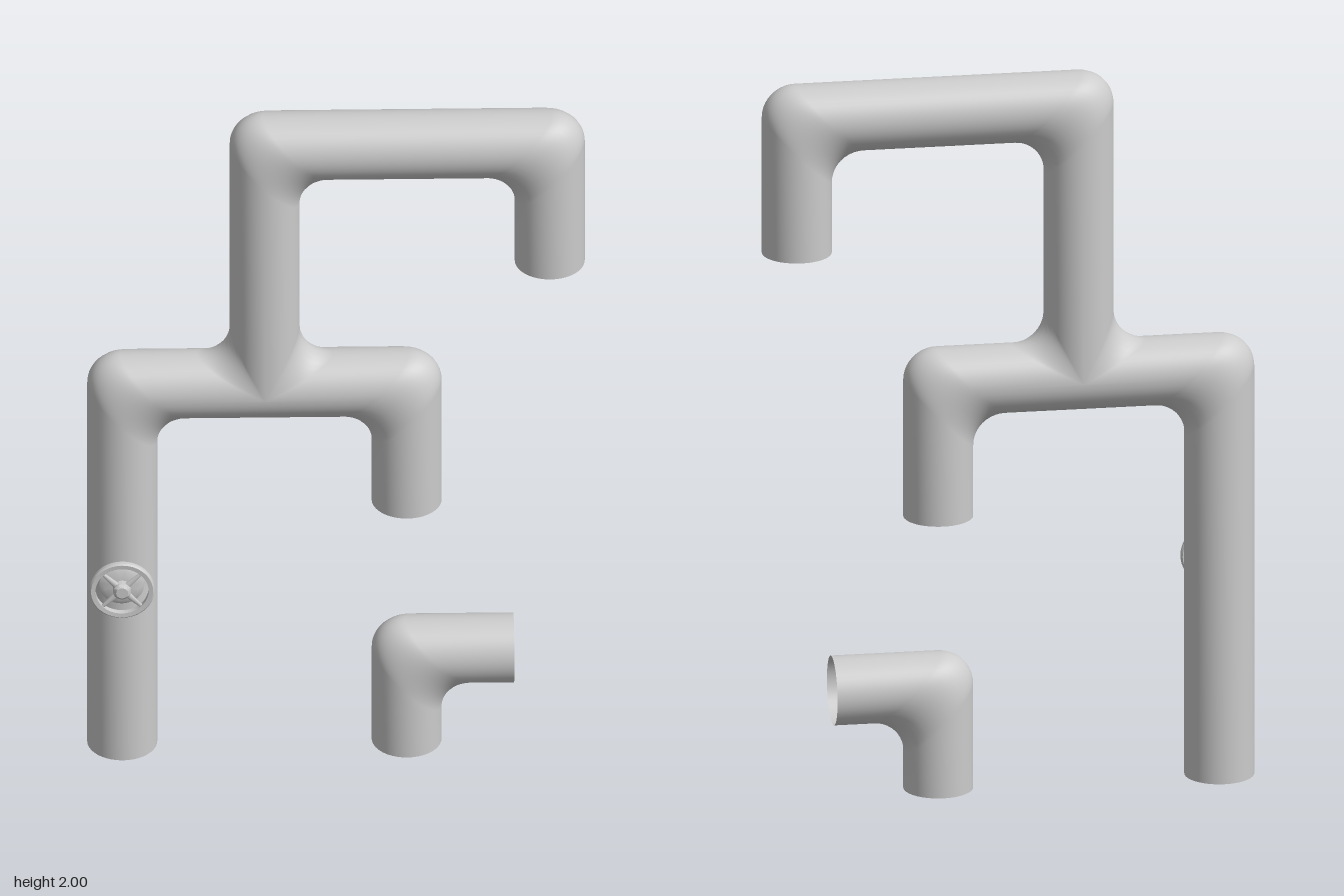
import * as THREE from 'three';
import { mergeGeometries, mergeVertices, toCreasedNormals } from 'three/addons/utils/BufferGeometryUtils.js';

const R = 0.0935;      // pipe radius
const FILLET = 0.088;  // rounding of every bend, inside and outside
const Z = -0.031;      // depth of the pipe axis
const BEND = 10, HALF = 20;

// Sweep a circle (or arc) along a right-angled path in the xy plane.
// Path points are [x, y, tee]; at a tee the fillet fades out towards the sides.
function sweep(path, phi0 = 0, halves = 2) {
  const around = HALF * halves, pos = [], index = [];
  const pts = path.map(([x, y]) => new THREE.Vector2(x, y));
  const dirs = pts.slice(1).map((p, i) => p.clone().sub(pts[i]).normalize());
  const left = dirs.map((d) => new THREE.Vector2(-d.y, d.x));
  let rings = 0;
  const ring = (place) => {
    for (let j = 0; j <= around; j++) {
      const phi = phi0 + (j / around) * halves * Math.PI;
      const p = place(R * Math.cos(phi));
      pos.push(p.x, p.y, Z + R * Math.sin(phi));
    }
    rings++;
  };
  pts.forEach((p, i) => {
    if (i === 0 || i === pts.length - 1) {
      const n = left[Math.min(i, left.length - 1)];
      ring((u) => p.clone().addScaledVector(n, u));
      return;
    }
    // each lengthwise line meets its own corner, rounded by the fillet
    const a = dirs[i - 1], b = dirs[i], n = left[i - 1].clone().add(left[i]);
    for (let k = 0; k <= BEND; k++) {
      const t = (k / BEND) * Math.PI / 2;
      ring((u) => {
        const f = path[i][2] ? FILLET * Math.abs(u) / R : FILLET;
        return p.clone().addScaledVector(n, u)
          .addScaledVector(a, -f * (1 - Math.sin(t)))
          .addScaledVector(b, f * (1 - Math.cos(t)));
      });
    }
  });
  const w = around + 1;
  for (let i = 0; i < rings - 1; i++) {
    for (let j = 0; j < around; j++) {
      const q = i * w + j;
      index.push(q, q + 1, q + w, q + 1, q + w + 1, q + w);
    }
  }
  const g = new THREE.BufferGeometry();
  g.setAttribute('position', new THREE.Float32BufferAttribute(pos, 3));
  g.setIndex(index);
  return g;
}

function weld(parts) {
  const g = mergeVertices(mergeGeometries(parts), 1e-4);
  g.computeVertexNormals();
  return g;
}

// Turned part whose axis points to +z; profile points are [radius, z]
function turned(profile, segments = 32) {
  const g = new THREE.LatheGeometry(profile.map(([x, y]) => new THREE.Vector2(x, y)), segments);
  return toCreasedNormals(g.rotateX(Math.PI / 2), 0.6);
}

export function createModel() {
  const model = new THREE.Group();
  const grey = new THREE.MeshStandardMaterial({ color: 0xcccccc, side: THREE.DoubleSide });
  const add = (parent, name, geometry) => {
    const mesh = new THREE.Mesh(geometry, grey);
    mesh.name = name;
    parent.add(mesh);
    return mesh;
  };

  // Branching pipe: three half-round sweeps that meet along their edges
  const xl = -0.573, xm = -0.193, xr = 0.186, xt = 0.568, yMid = 1.146, yTop = 1.907;
  const upper = [[xm, yMid, true], [xm, yTop], [xt, yTop], [xt, 1.53]];
  add(model, 'branchingPipe', weld([
    sweep([[xl, 0], [xl, yMid], [xr, yMid], [xr, 0.767]], Math.PI / 2, 1),
    sweep([[xl, 0], [xl, yMid], ...upper], -Math.PI / 2, 1),
    sweep([[xr, 0.767], [xr, yMid], ...upper], Math.PI / 2, 1),
  ]));

  // Separate elbow standing on the ground
  add(model, 'elbowPipe', weld([sweep([[xr, 0], [xr, 0.288], [0.472, 0.288]])]));

  // Valve on the front of the long leg
  const valve = new THREE.Group();
  valve.name = 'valve';
  valve.position.set(-0.576, 0.573, 0);
  model.add(valve);
  add(valve, 'valveBase', turned([
    [0.06, 0.03], [0.06, 0.076], [0.046, 0.084], [0.016, 0.086], [0.012, 0.096],
  ]));
  add(valve, 'handwheelRim', turned([
    [0.071, 0.092], [0.083, 0.091], [0.087, 0.095], [0.087, 0.105],
    [0.083, 0.109], [0.071, 0.108], [0.071, 0.092],
  ], 40));
  add(valve, 'handwheelHub', turned([
    [0, 0.09], [0.024, 0.092], [0.024, 0.111], [0.016, 0.118], [0, 0.118],
  ], 20));
  for (let i = 0; i < 4; i++) {
    // spokes taper towards the rim
    const spoke = new THREE.CylinderGeometry(0.005, 0.01, 0.058, 8).translate(0, 0.045, 0);
    const mesh = add(valve, 'handwheelSpoke', spoke);
    mesh.position.z = 0.101;
    mesh.scale.z = 0.7;
    mesh.rotation.z = Math.PI / 4 + i * Math.PI / 2;
  }
  return model;
}
